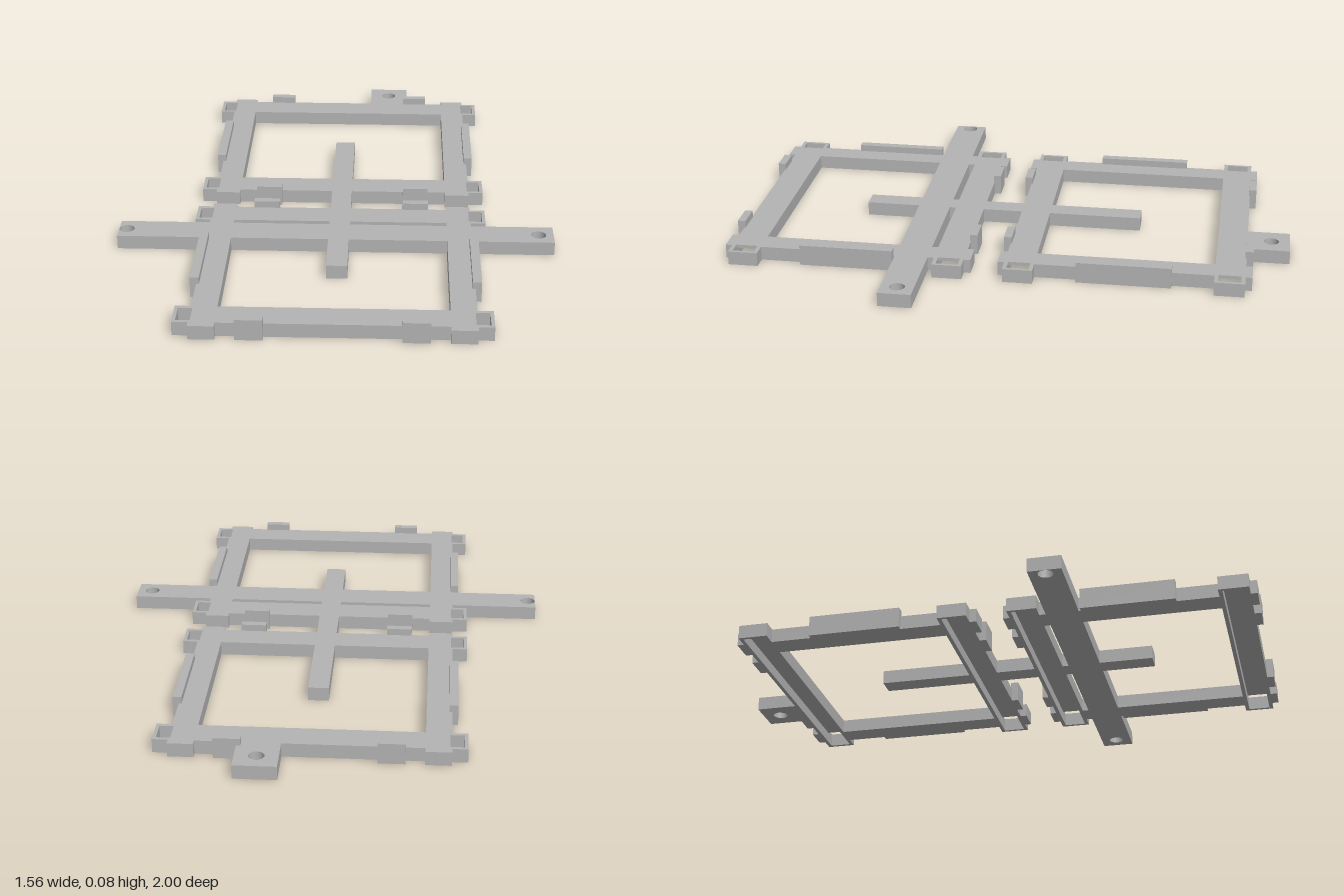
import * as THREE from 'three';

const H = 0.05;      // plate thickness
const TAB = 0.075;   // raised tab height
const SKIN = 0.038;  // ceiling of the channels under the rails

export function createModel() {
  const model = new THREE.Group();
  model.name = 'doubleFrameBracket';
  const grey = new THREE.MeshStandardMaterial({ color: 0xb4b4b4 });
  grey.name = 'plain grey';

  // Box given by its limits on each axis
  function box(parent, name, x0, x1, y0, y1, z0, z1) {
    const mesh = new THREE.Mesh(new THREE.BoxGeometry(x1 - x0, y1 - y0, z1 - z0), grey);
    mesh.position.set((x0 + x1) / 2, (y0 + y1) / 2, (z0 + z1) / 2);
    mesh.name = name;
    parent.add(mesh);
  }

  // Flat plate with round screw holes
  function plate(name, x0, x1, z0, z1, holes) {
    const s = new THREE.Shape();
    s.moveTo(x0, -z1).lineTo(x1, -z1).lineTo(x1, -z0).lineTo(x0, -z0).closePath();
    for (const [x, z] of holes) {
      s.holes.push(new THREE.Path().absarc(x, -z, 0.027, 0, Math.PI * 2, true));
    }
    const geo = new THREE.ExtrudeGeometry(s, { depth: H, bevelEnabled: false, curveSegments: 24 });
    geo.rotateX(-Math.PI / 2);
    const mesh = new THREE.Mesh(geo, grey);
    mesh.name = name;
    model.add(mesh);
  }

  // Rail with an open channel underneath and a through slot at each end
  function rail(frame, z0, z1) {
    const w = 0.014, half = 0.527;
    box(frame, 'railWall', -half, half, 0, H, z0, z0 + w);
    box(frame, 'railWall', -half, half, 0, H, z1 - w, z1);
    box(frame, 'railTop', -0.467, 0.467, SKIN, H, z0 + w, z1 - w);
    for (const s of [-1, 1]) {
      const a = s * (half - 0.012), b = s * half;
      box(frame, 'slotEnd', Math.min(a, b), Math.max(a, b), 0, H, z0 + w, z1 - w);
    }
  }

  // Rectangular frame, measured from its back edge
  function makeFrame(name, z) {
    const frame = new THREE.Group();
    frame.name = name;
    frame.position.set(0.0135, 0, z);
    rail(frame, 0.024, 0.13);
    rail(frame, 0.758, 0.864);
    for (const s of [-1, 1]) {
      const span = (label, inner, outer, y1, z0, z1) =>
        box(frame, label, Math.min(s * inner, s * outer), Math.max(s * inner, s * outer), 0, y1, z0, z1);
      // side bar, interrupted where the channels cross it
      for (const [z0, z1] of [[0, 0.038], [0.116, 0.772], [0.85, 0.888]]) {
        span('sideBar', 0.385, 0.473, H, z0, z1);
      }
      span('sideTab', 0.463, 0.494, TAB, 0.277, 0.611);
      span('backTab', 0.227, 0.32, TAB, 0, 0.028);
      span('frontTab', 0.227, 0.32, TAB, 0.86, 0.888);
    }
    model.add(frame);
  }

  makeFrame('backFrame', -0.872);
  makeFrame('frontFrame', 0.112);

  // Spine joining the two frames
  for (const [z0, z1] of [[-0.45, -0.008], [-0.008, 0.136], [0.242, 0.578]]) {
    const end = z0 === -0.45 ? -0.114 : z1;
    box(model, 'spine', -0.025, 0.049, 0, H, z0, end);
  }

  // Mounting arms and rear mounting lug
  plate('crossArm', -0.78, 0.78, 0.265, 0.382, [[-0.752, 0.324], [0.726, 0.324]]);
  plate('rearLug', 0.107, 0.256, -1, -0.848, [[0.181, -0.933]]);

  return model;
}
